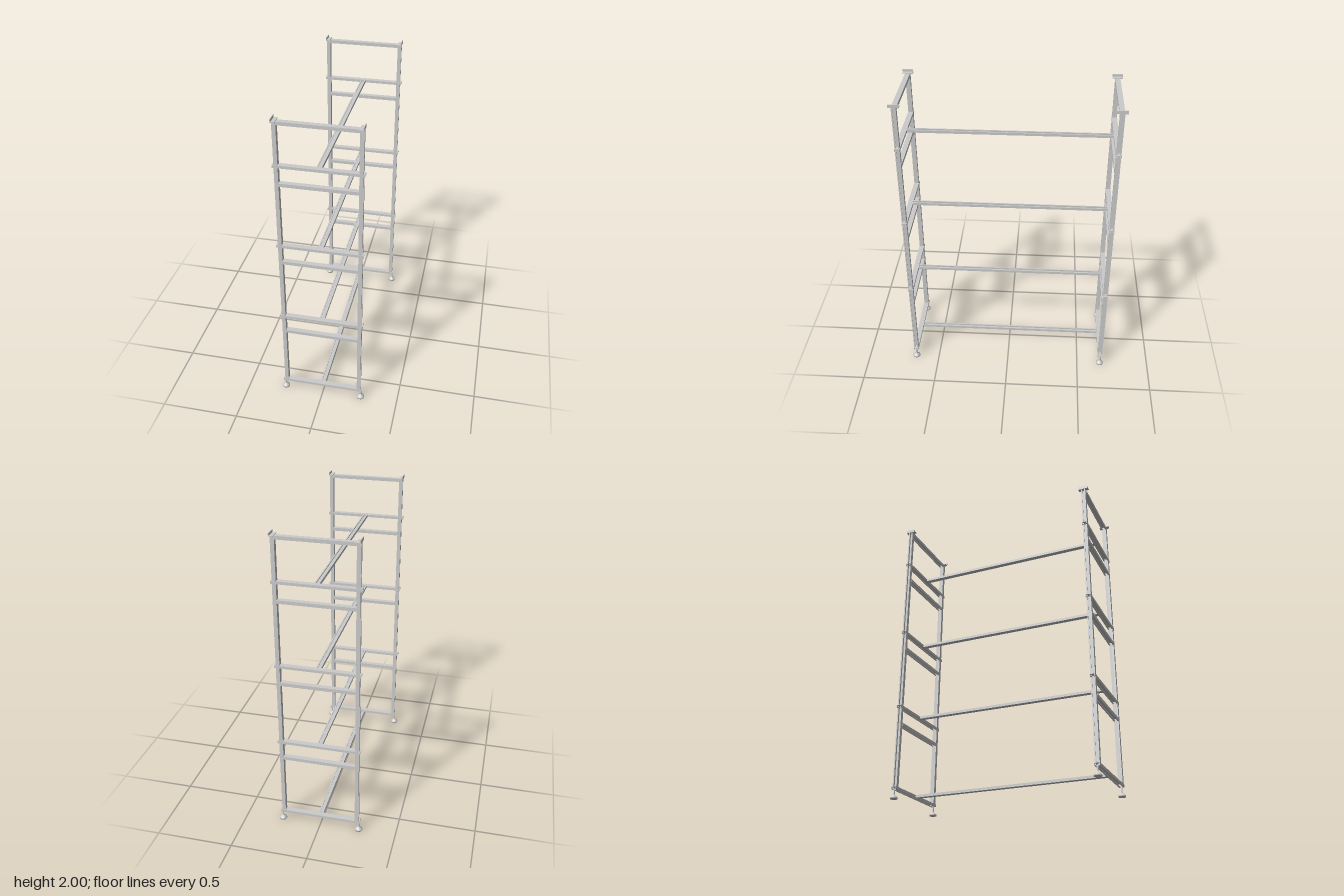
import * as THREE from 'three';

const material = new THREE.MeshStandardMaterial({ color: 0xcccccc });
const FRAME_Z = 0.662, POST_X = 0.245;

// Lipped C-channel running along z, open towards +y, centred on the origin
function channel(width, depth, length) {
  const w = width / 2, d = depth / 2, t = 0.003, lip = 0.008;
  const pts = [
    [-w, -d], [w, -d], [w, d], [w - lip, d], [w - lip, d - t], [w - t, d - t],
    [w - t, -d + t], [-w + t, -d + t], [-w + t, d - t], [-w + lip, d - t], [-w + lip, d], [-w, d],
  ].map(([x, y]) => new THREE.Vector2(x, y));
  return new THREE.ExtrudeGeometry(new THREE.Shape(pts), { depth: length, bevelEnabled: false })
    .translate(0, 0, -length / 2);
}

export function createModel() {
  const model = new THREE.Group();
  model.name = 'rackFrame';
  const add = (parent, name, geometry, x = 0, y = 0, z = 0) => {
    const mesh = new THREE.Mesh(geometry, material);
    mesh.name = name;
    mesh.position.set(x, y, z);
    parent.add(mesh);
    return mesh;
  };

  const AXES = new THREE.Matrix4().makeBasis(
    new THREE.Vector3(0, 0, 1), new THREE.Vector3(1, 0, 0), new THREE.Vector3(0, 1, 0));
  const post = channel(0.03, 0.024, 1.915).applyMatrix4(AXES);
  const innerRung = channel(0.032, 0.021, 0.472).rotateZ(Math.PI).rotateY(Math.PI / 2);
  const throughRung = channel(0.034, 0.017, 0.534).rotateZ(Math.PI).rotateY(Math.PI / 2);
  const beam = channel(0.032, 0.017, 2 * FRAME_Z - 0.032);

  // Domed levelling foot with threaded stem
  const foot = new THREE.LatheGeometry([
    [0, 0], [0.024, 0], [0.025, 0.008], [0.02, 0.014], [0.01, 0.022], [0.006, 0.028],
    [0.005, 0.03], [0.005, 0.066], [0, 0.066],
  ].map(([r, y]) => new THREE.Vector2(r, y)), 20);

  const shelfHeights = [0.617, 1.16, 1.703];

  // End frames, one at each end of the rack
  for (const end of [1, -1]) {
    const frame = new THREE.Group();
    frame.name = end > 0 ? 'frontFrame' : 'backFrame';
    frame.position.z = end * FRAME_Z;
    model.add(frame);

    for (const side of [1, -1]) {
      const label = side > 0 ? 'left' : 'right';
      const upright = add(frame, label + 'Post', post, side * POST_X, 1.0215, 0);
      if (side < 0) upright.rotation.y = Math.PI;
      add(frame, label + 'Foot', foot, side * 0.257, 0, 0);
      // L-shaped stacking bracket on the post top
      add(frame, label + 'BracketBase', new THREE.BoxGeometry(0.027, 0.005, 0.066), side * 0.2465, 1.982, 0);
      add(frame, label + 'BracketLip', new THREE.BoxGeometry(0.005, 0.02, 0.066), side * 0.2575, 1.99, 0);
    }

    add(frame, 'topRung', innerRung, 0, 1.97, 0);
    for (const y of shelfHeights) {
      add(frame, 'shelfRung', throughRung, 0, y, 0);
      add(frame, 'lowerRung', innerRung, 0, y - 0.118, 0);
    }
    add(frame, 'baseRung', throughRung, 0, 0.071, 0);
  }

  // Central beams joining the end frames
  for (const y of [0.071, ...shelfHeights]) add(model, 'centreBeam', beam, 0, y, 0);

  return model;
}
